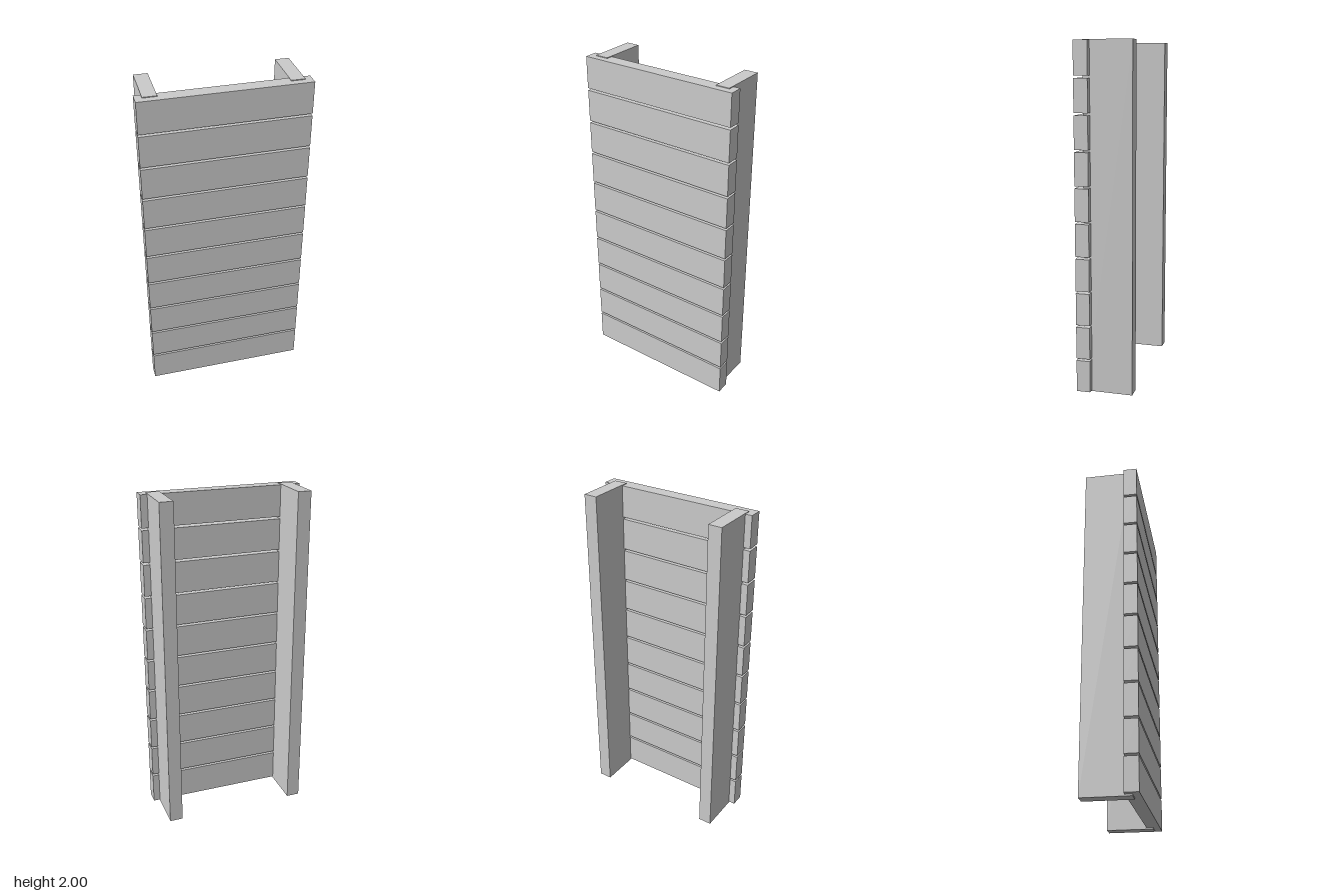
import * as THREE from 'three';

const HEIGHT = 2;
const PLANK_COUNT = 10;
const PITCH = HEIGHT / PLANK_COUNT;
const PLANK_HEIGHT = 0.187;

export function createModel() {
  const group = new THREE.Group();
  group.name = 'plankWall';
  const material = new THREE.MeshStandardMaterial({ color: 0xcccccc, flatShading: true });

  function addBox(name, width, height, depth, x, y, z) {
    const mesh = new THREE.Mesh(new THREE.BoxGeometry(width, height, depth), material);
    mesh.name = name;
    mesh.position.set(x, y, z);
    group.add(mesh);
  }

  // Two upright posts behind the wall, let halfway into the planks
  for (const side of [-1, 1]) {
    addBox(side > 0 ? 'leftPost' : 'rightPost', 0.08, HEIGHT, 0.28, side * 0.4, HEIGHT / 2, -0.02);
  }

  // Horizontal planks with narrow gaps between them
  for (let i = 0; i < PLANK_COUNT; i++) {
    addBox(`plank${i + 1}`, 0.96, PLANK_HEIGHT, 0.08, 0, (i + 0.5) * PITCH + 0.002, 0.12);
  }

  return group;
}
